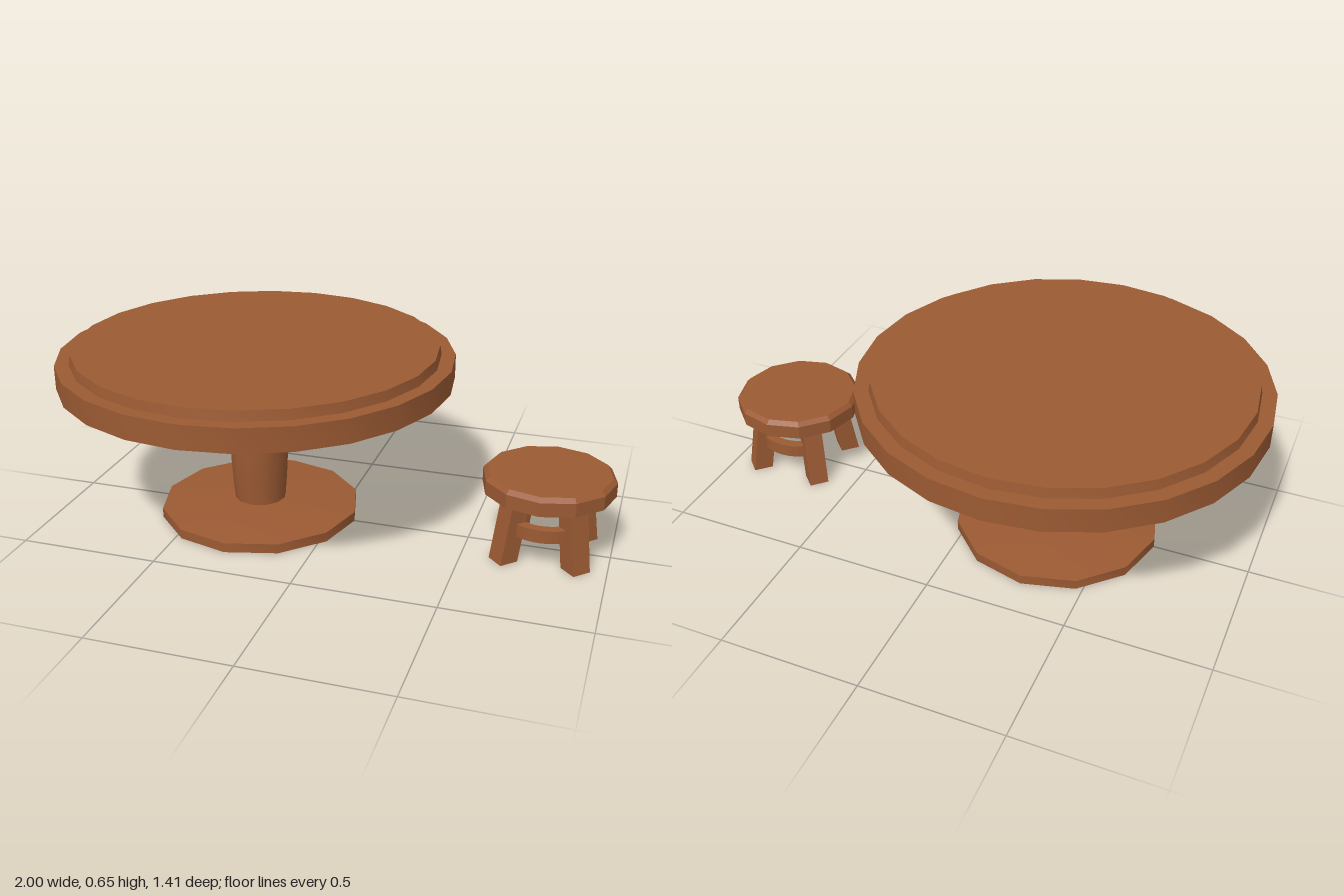
import * as THREE from 'three';
import { toCreasedNormals } from 'three/addons/utils/BufferGeometryUtils.js';

const wood = new THREE.MeshStandardMaterial({ color: 0x9b5a33 });
wood.name = 'brown wood';
const olive = new THREE.MeshStandardMaterial({ color: 0xd8aa36 });
olive.name = 'ochre underside';

function part(parent, name, geometry, material = wood) {
  const mesh = new THREE.Mesh(geometry, material);
  mesh.name = name;
  parent.add(mesh);
  return mesh;
}

// Turned part from [radius, height] pairs, listed bottom to top
function turned(profile, sides, crease) {
  const points = profile.map(([r, y]) => new THREE.Vector2(r, y));
  return toCreasedNormals(new THREE.LatheGeometry(points, sides), crease);
}

// Square leg, sheared outward along +z towards its foot
function legGeometry(height, width, topReach, footReach) {
  const geometry = new THREE.BoxGeometry(width, height, width);
  geometry.translate(0, height / 2, 0);
  const p = geometry.attributes.position;
  for (let i = 0; i < p.count; i++) {
    const t = p.getY(i) / height;
    p.setZ(i, p.getZ(i) + footReach + (topReach - footReach) * t);
  }
  geometry.computeVertexNormals();
  return geometry;
}

// Curved rail, bowed towards +z
function railGeometry(inner, outer, halfAngle, height) {
  const shape = new THREE.Shape();
  const a = -Math.PI / 2 - halfAngle, b = -Math.PI / 2 + halfAngle;
  shape.absarc(0, 0, outer, a, b, false);
  shape.absarc(0, 0, inner, b, a, true);
  const geometry = new THREE.ExtrudeGeometry(shape, {
    depth: height, bevelEnabled: false, curveSegments: 5,
  });
  return geometry.rotateX(-Math.PI / 2);
}

function createTable() {
  const table = new THREE.Group();
  table.name = 'table';
  // Round top with a raised centre panel
  part(table, 'tableTop', turned(
    [[0, 0.535], [0.707, 0.535], [0.707, 0.62], [0.65, 0.62]], 24, 0.6));
  part(table, 'topPanel', turned(
    [[0.657, 0.618], [0.651, 0.655], [0, 0.655]], 24, 0.6));
  // Slightly swollen column
  part(table, 'column', turned(
    [[0.094, 0.045], [0.101, 0.13], [0.106, 0.22], [0.107, 0.32], [0.103, 0.43], [0.096, 0.537]], 12, 0.7));
  // Shallow conical foot
  part(table, 'foot', turned(
    [[0, 0], [0.367, 0], [0.367, 0.035], [0.1, 0.055], [0, 0.055]], 12, 0.6));
  return table;
}

function createStool() {
  const stool = new THREE.Group();
  stool.name = 'stool';
  // Seat with a bevelled rim and a differently coloured underside
  part(stool, 'seat', turned(
    [[0.23, 0.235], [0.23, 0.285], [0.215, 0.3], [0, 0.3]], 12, 0.2));
  const under = new THREE.CircleGeometry(0.23, 12);
  under.rotateX(Math.PI / 2).translate(0, 0.235, 0);
  part(stool, 'seatUnderside', under, olive);
  // Four splayed legs on the diagonals
  const leg = legGeometry(0.24, 0.07, 0.134, 0.175);
  for (let i = 0; i < 4; i++) {
    part(stool, 'stoolLeg', leg).rotation.y = Math.PI / 4 + i * Math.PI / 2;
  }
  // Curved rails joining the legs at front and back
  const rail = railGeometry(0.12, 0.156, 0.65, 0.047);
  for (const turn of [0, Math.PI]) {
    const mesh = part(stool, 'stoolRail', rail);
    mesh.position.y = 0.1;
    mesh.rotation.y = turn;
  }
  return stool;
}

export function createModel() {
  const model = new THREE.Group();
  model.name = 'tableAndStool';
  const table = createTable();
  table.position.x = -0.293;
  const stool = createStool();
  stool.position.x = 0.77;
  model.add(table, stool);
  return model;
}
